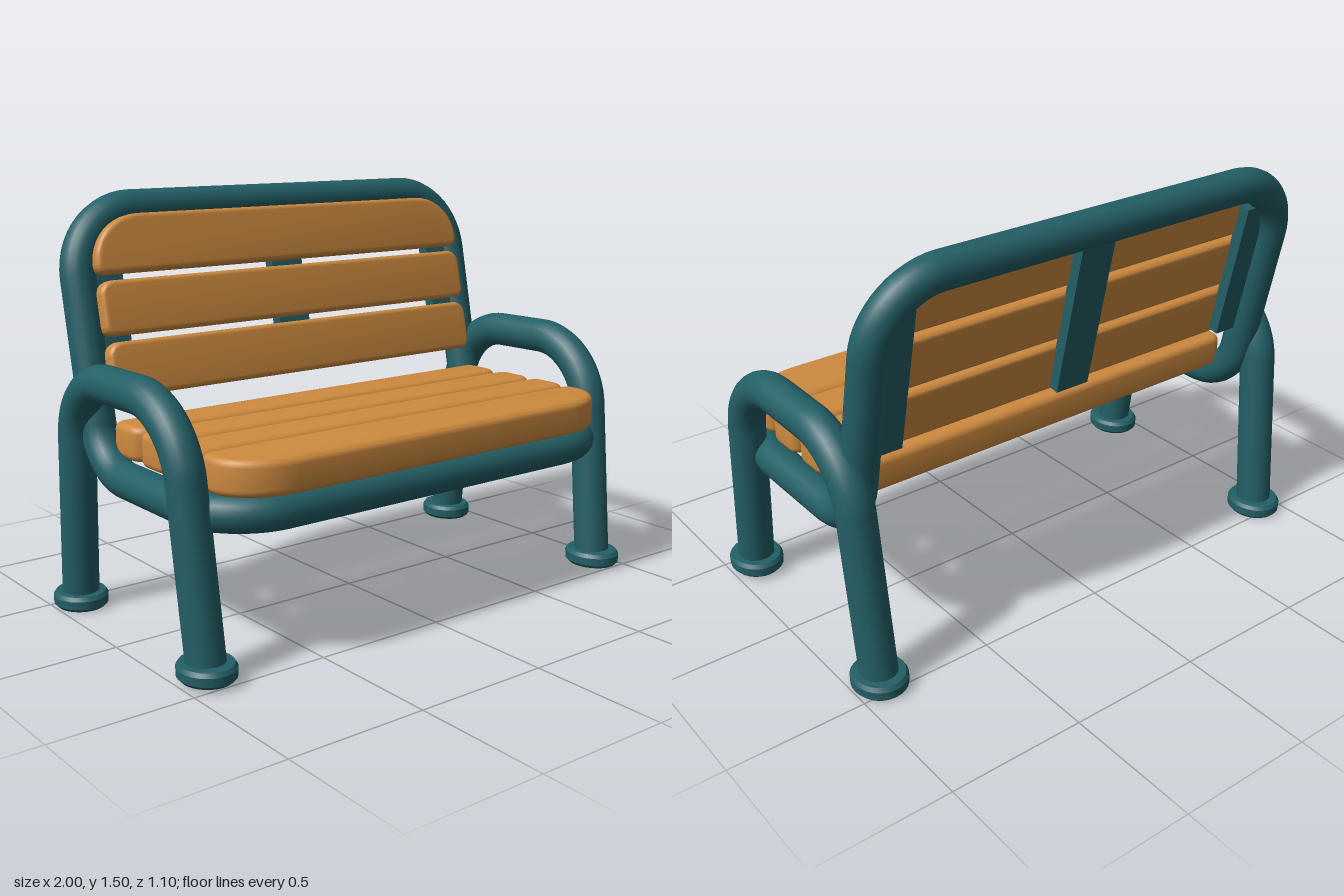
import * as THREE from 'three';
import { toCreasedNormals } from 'three/addons/utils/BufferGeometryUtils.js';

const wood = new THREE.MeshStandardMaterial({ color: 0xcd8a3f });
wood.name = 'warm wood';
const metal = new THREE.MeshStandardMaterial({ color: 0x235f66 });
metal.name = 'teal metal';

function add(parent, name, geometry, material, x = 0, y = 0, z = 0) {
  const mesh = new THREE.Mesh(geometry, material);
  mesh.name = name;
  mesh.position.set(x, y, z);
  parent.add(mesh);
  return mesh;
}

// Path through corner points [x, y, z, setback], each corner rounded by its setback
function roundedPath(corners) {
  const path = new THREE.CurvePath();
  const pts = corners.map(c => new THREE.Vector3(c[0], c[1], c[2]));
  let from = pts[0];
  for (let i = 1; i < pts.length; i++) {
    const setback = corners[i][3] || 0;
    if (!setback) {
      path.add(new THREE.LineCurve3(from, pts[i]));
      continue;
    }
    const towards = target => pts[i].clone().add(
      target.clone().sub(pts[i]).normalize().multiplyScalar(setback));
    const a = towards(pts[i - 1]);
    const b = towards(pts[i + 1]);
    path.add(new THREE.LineCurve3(from, a));
    path.add(new THREE.CubicBezierCurve3(
      a, a.clone().lerp(pts[i], 0.55), b.clone().lerp(pts[i], 0.55), b));
    from = b;
  }
  return path;
}

// Soft-edged board; rx and ry round its two upper corners
function board(width, height, depth, rx = 0.035, ry = 0.035, bevel = 0.022) {
  const w = width / 2 - bevel, h = height / 2 - bevel, r = 0.02;
  const s = new THREE.Shape();
  s.moveTo(-w + r, -h);
  s.lineTo(w - r, -h);
  s.quadraticCurveTo(w, -h, w, -h + r);
  s.lineTo(w, h - ry);
  s.bezierCurveTo(w, h - ry * 0.45, w - rx * 0.45, h, w - rx, h);
  s.lineTo(-w + rx, h);
  s.bezierCurveTo(-w + rx * 0.45, h, -w, h - ry * 0.45, -w, h - ry);
  s.lineTo(-w, -h + r);
  s.quadraticCurveTo(-w, -h, -w + r, -h);
  const g = new THREE.ExtrudeGeometry(s, {
    depth: depth - 2 * bevel, bevelEnabled: true, bevelThickness: bevel,
    bevelSize: bevel, bevelSegments: 5, curveSegments: 10,
  });
  g.translate(0, 0, bevel - depth / 2);
  return toCreasedNormals(g, 0.42);
}

export function createModel() {
  const bench = new THREE.Group();
  bench.name = 'bench';

  // One bent tube forms the seat rim and the back hoop
  const loop = roundedPath([
    [0, 0.535, 0.482],
    [0.87, 0.535, 0.482, 0.24],
    [0.87, 0.535, -0.285, 0.16],
    [0.87, 1.435, -0.472, 0.24],
    [-0.87, 1.435, -0.472, 0.24],
    [-0.87, 0.535, -0.285, 0.16],
    [-0.87, 0.535, 0.482, 0.24],
    [0, 0.535, 0.482],
  ]);
  add(bench, 'seatAndBackFrame', new THREE.TubeGeometry(loop, 220, 0.064, 20, true), metal);

  // Arm hoops, each running from front foot to back foot
  const footProfile = [[0, 0], [0.085, 0], [0.096, 0.012], [0.097, 0.042], [0.088, 0.056], [0, 0.06]]
    .map(p => new THREE.Vector2(p[0], p[1]));
  const footGeometry = toCreasedNormals(new THREE.LatheGeometry(footProfile, 28), 0.6);
  for (const side of [1, -1]) {
    const label = side > 0 ? 'left' : 'right';
    const arm = roundedPath([
      [side * 0.903, 0.03, 0.42],
      [side * 0.928, 0.882, 0.325, 0.24],
      [side * 0.928, 0.872, -0.36, 0.22],
      [side * 0.903, 0.03, -0.443],
    ]);
    add(bench, label + 'ArmAndLegs', new THREE.TubeGeometry(arm, 110, 0.067, 20), metal);
    add(bench, label + 'FrontFoot', footGeometry, metal, side * 0.903, 0.012, 0.42).scale.z = 1.13;
    add(bench, label + 'BackFoot', footGeometry, metal, side * 0.903, 0, -0.443).scale.z = 1.1;
  }

  // Seat slats, the front one with wide rounded corners
  const seat = new THREE.Group();
  seat.name = 'seatSlats';
  bench.add(seat);
  const seatSlats = [
    [0.427, 0.242, 1.7, 0.2, 0.15],
    [0.214, 0.178, 1.72],
    [0.029, 0.178, 1.72],
    [-0.163, 0.178, 1.71],
  ];
  seatSlats.forEach(([z, depth, width, rx, ry], i) => {
    add(seat, 'seatSlat' + (i + 1), board(width, depth, 0.125, rx, ry, 0.026), wood, 0, 0.658, z)
      .rotation.x = Math.PI / 2;
  });

  // Leaning backrest: slats with straps behind them
  const back = new THREE.Group();
  back.name = 'backrest';
  back.position.set(0, 1.083, -0.4);
  back.rotation.x = -0.21;
  bench.add(back);
  const backSlats = [
    [0.223, 0.208, 0.17, 0.15],
    [0, 0.195],
    [-0.216, 0.195],
  ];
  backSlats.forEach(([y, height, rx, ry], i) => {
    add(back, 'backSlat' + (i + 1), board(1.675, height, 0.066, rx, ry, 0.018), wood, 0, y, 0.067);
  });
  add(back, 'middleStrap', new THREE.BoxGeometry(0.14, 0.63, 0.045), metal, 0, 0.02, 0.015);
  for (const x of [0.765, -0.765]) {
    add(back, x > 0 ? 'leftStrap' : 'rightStrap',
      new THREE.BoxGeometry(0.1, 0.54, 0.045), metal, x, -0.02, 0.015);
  }
  return bench;
}
